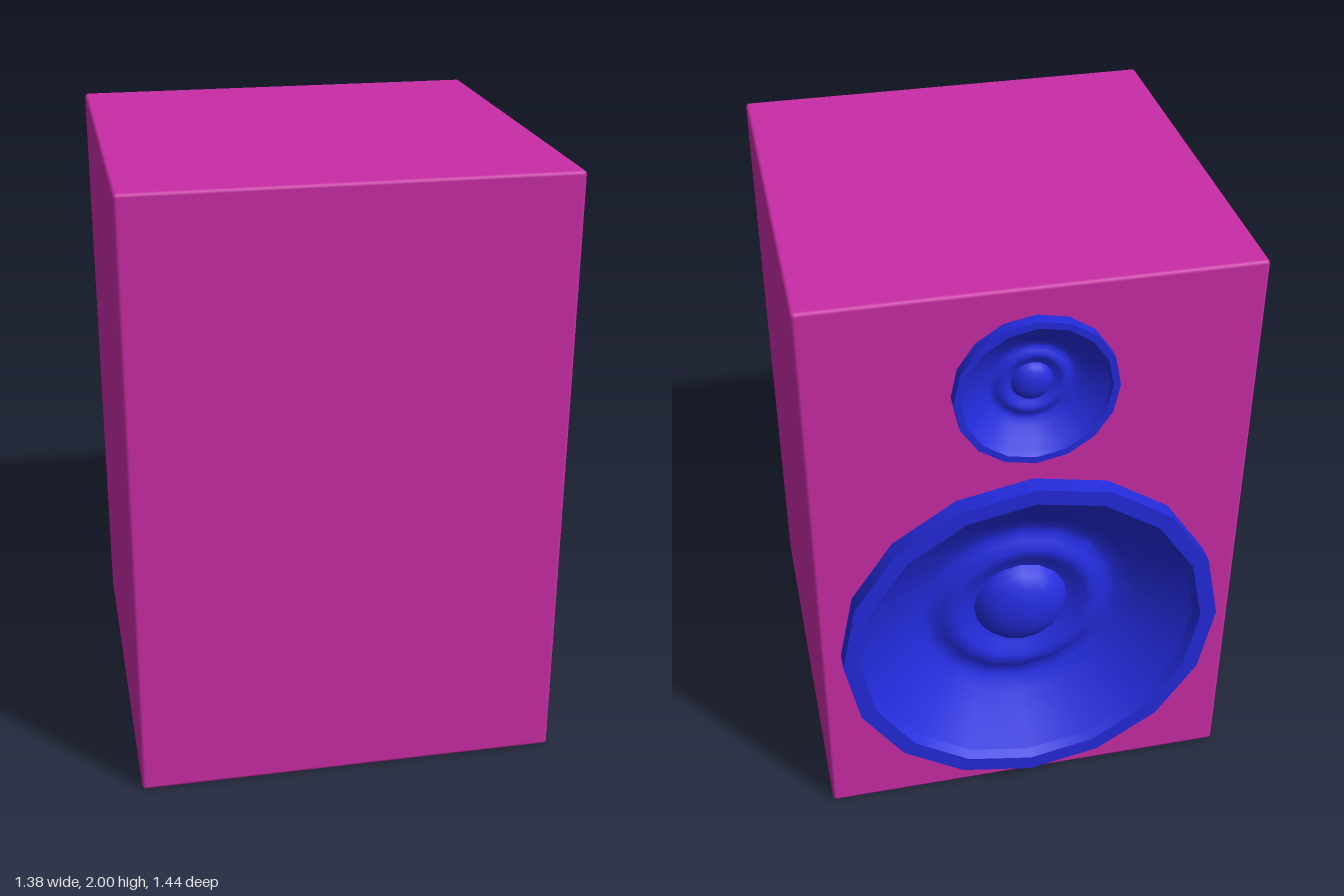
import * as THREE from 'three';
import { RoundedBoxGeometry } from 'three/addons/geometries/RoundedBoxGeometry.js';

const BACK = -0.66; // z of the panel carrying the drivers
const FRONT = 0.72;
const BEVEL = 0.012;
const DRIVERS = [
  { name: 'woofer', y: 0.695, scale: 1, tip: -0.72 },
  { name: 'tweeter', y: 1.66, scale: 0.4, tip: -0.7 },
];

// Rounded box without the flat back face, which becomes a panel with holes
function cabinetShell(material) {
  const geo = new RoundedBoxGeometry(1.38, 2, FRONT - BACK, 2, BEVEL);
  geo.translate(0, 1, (FRONT + BACK) / 2);
  const p = geo.attributes.position, n = geo.attributes.normal;
  const pos = [], nor = [];
  for (let i = 0; i < p.count; i += 3) {
    if ([0, 1, 2].every((k) => p.getZ(i + k) < BACK + 1e-4)) continue;
    for (let k = i; k < i + 3; k++) {
      pos.push(p.getX(k), p.getY(k), p.getZ(k));
      nor.push(n.getX(k), n.getY(k), n.getZ(k));
    }
  }
  const shell = new THREE.BufferGeometry();
  shell.setAttribute('position', new THREE.Float32BufferAttribute(pos, 3));
  shell.setAttribute('normal', new THREE.Float32BufferAttribute(nor, 3));
  const mesh = new THREE.Mesh(shell, material);
  mesh.name = 'cabinetShell';
  return mesh;
}

// Flat panel with a round opening behind each driver
function driverPanel(material) {
  const w = 0.69 - BEVEL, b = BEVEL, t = 2 - BEVEL;
  const shape = new THREE.Shape([[-w, b], [w, b], [w, t], [-w, t]].map(([x, y]) => new THREE.Vector2(x, y)));
  for (const d of DRIVERS) {
    shape.holes.push(new THREE.Path().absarc(0, d.y, 0.59 * d.scale, 0, Math.PI * 2, true));
  }
  const geo = new THREE.ShapeGeometry(shape, 16);
  geo.rotateY(Math.PI); // face the back
  const mesh = new THREE.Mesh(geo, material);
  mesh.position.z = BACK;
  mesh.name = 'driverPanel';
  return mesh;
}

// Rim, cone, ridge and dome as one 16-sided lathe; doubled points keep edges sharp
function driverGeometry() {
  const profile = [
    [0.625, -0.12], [0.625, 0], [0.625, 0], [0.57, 0], [0.57, 0], [0.55, -0.025], [0.55, -0.025],
    [0.47, -0.09], [0.39, -0.15], [0.34, -0.18], [0.31, -0.185], [0.28, -0.17], [0.25, -0.155],
    [0.22, -0.16], [0.19, -0.18], [0.16, -0.19], [0.16, -0.19],
    [0.14, -0.155], [0.1, -0.128], [0.05, -0.114], [0, -0.11],
  ].map(([r, h]) => new THREE.Vector2(r, h));
  return new THREE.LatheGeometry(profile, 16).rotateX(-Math.PI / 2);
}

export function createModel() {
  const model = new THREE.Group();
  model.name = 'loudspeaker';
  const cabinetMat = new THREE.MeshStandardMaterial({ color: 0xc92ca5 });
  const driverMat = new THREE.MeshStandardMaterial({ color: 0x232bdc });

  const cabinet = new THREE.Group();
  cabinet.name = 'cabinet';
  cabinet.add(cabinetShell(cabinetMat), driverPanel(cabinetMat));
  model.add(cabinet);

  const geo = driverGeometry();
  for (const d of DRIVERS) {
    const driver = new THREE.Mesh(geo, driverMat);
    driver.name = d.name;
    driver.scale.setScalar(d.scale);
    driver.position.set(0, d.y, d.tip);
    model.add(driver);
  }
  return model;
}
